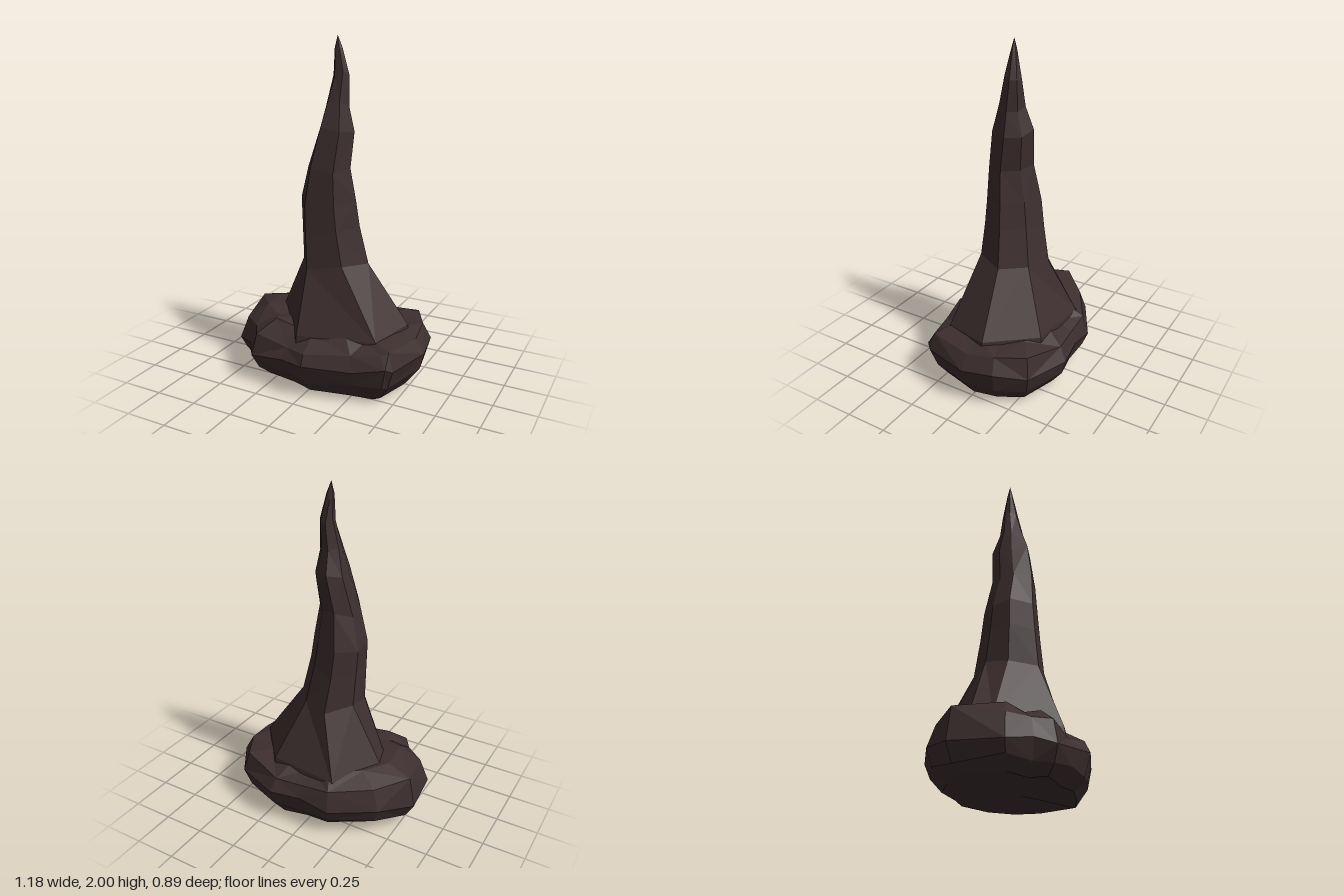
import * as THREE from 'three';

// Closed flat-shaded loft through rings of [x, y, z] points, with a centre point at each end
function loft(name, rings, bottom, top, material) {
  const n = rings[0].length;
  const points = [...rings.flat(), bottom, top];
  const b = rings.length * n, t = b + 1, index = [];
  for (let i = 0; i < n; i++) {
    const k = (i + 1) % n, last = (rings.length - 1) * n;
    index.push(i, k, b, last + i, t, last + k);
    for (let j = 0; j < rings.length - 1; j++) {
      const p = j * n, q = p + n;
      // Alternate the diagonals for a hewn look
      if ((i + j) % 2) index.push(p + i, q + i, p + k, p + k, q + i, q + k);
      else index.push(p + i, q + i, q + k, p + i, q + k, p + k);
    }
  }
  const indexed = new THREE.BufferGeometry();
  indexed.setAttribute('position', new THREE.Float32BufferAttribute(points.flat(), 3));
  indexed.setIndex(index);
  const geometry = indexed.toNonIndexed();
  geometry.computeVertexNormals();
  const mesh = new THREE.Mesh(geometry, material);
  mesh.name = name;
  return mesh;
}

export function createModel() {
  const group = new THREE.Group();
  group.name = 'stalagmite';
  const rock = new THREE.MeshStandardMaterial({ color: 0x3d2e2e, flatShading: true });

  // Boulder base: one irregular outline, scaled at each level
  const outline = [
    [0.59, 0.01], [0.51, 0.29], [0.48, 0.325], [0.3, 0.37], [0.02, 0.445], [-0.13, 0.405],
    [-0.35, 0.385], [-0.42, 0.29], [-0.555, 0.195], [-0.59, -0.09], [-0.44, -0.27],
    [-0.185, -0.412], [0, -0.415], [0.19, -0.448], [0.455, -0.35], [0.56, -0.18],
  ];
  // Each level: scale, x shift, height rule, unevenness
  const levels = [
    [0.78, 0.01, (x) => 0.02 - 0.03 * x, 0.006],
    [0.93, 0.005, (x) => 0.1 + 0.02 * x, 0.015],
    [1, 0, (x) => 0.2 + 0.05 * x, 0.015],
    [0.92, 0, (x, z) => 0.26 + 0.1 * Math.abs(x) + 0.02 * (z < 0), 0.012],
    [0.68, 0, (x) => 0.345 + (x < 0 ? -0.08 * x : 0), 0.01],
  ];
  const baseRings = levels.map(([s, dx, height, rough], j) => outline.map(([x, z], i) => {
    const wobble = Math.sin(i * 2.4 + j * 1.7);
    const r = s + (j === 2 ? 0 : 0.018 * wobble);
    return [x * r + dx, Math.max(0, height(x, z) + rough * wobble), z * r];
  }));
  group.add(loft('base', baseRings, [0.02, 0.03, 0], [0, 0.37, 0], rock));

  // Spike: flared foot, then a seven-sided section fitted to the bounds at each height
  const foot = [[0.46, -0.05], [0.38, 0.23], [-0.07, 0.335], [-0.33, 0.04], [-0.375, -0.08], [-0.17, -0.33], [0.24, -0.31]];
  const section = [[1, -0.05], [0.55, 0.82], [-0.5, 1], [-1, 0.3], [-0.97, -0.38], [-0.35, -1], [0.45, -0.75]];
  // Bounds: height, min x, max x, min z, max z
  const bounds = [
    [0.71, -0.17, 0.22, -0.2, 0.2],
    [0.92, -0.172, 0.17, -0.155, 0.188],
    [1.07, -0.175, 0.15, -0.13, 0.18],
    [1.27, -0.125, 0.12, -0.09, 0.165],
    [1.49, -0.07, 0.13, -0.11, 0.125],
    [1.63, -0.035, 0.098, -0.065, 0.08],
    [1.79, 0, 0.09, -0.055, 0.038],
    [1.92, 0.005, 0.05, -0.025, 0.015],
  ];
  const spikeRings = [
    foot.map(([x, z]) => [x * 1.05, 0.2, z * 1.05]),
    foot.map(([x, z], i) => [x, 0.345 + 0.015 * Math.cos(i * 2), z]),
    ...bounds.map(([y, x0, x1, z0, z1], j) => section.map(([u, v], i) => [
      (x0 + x1) / 2 + u * (x1 - x0) / 2,
      y + 0.018 * Math.sin(i * 2.1 + j),
      (z0 + z1) / 2 + v * (z1 - z0) / 2,
    ])),
  ];
  group.add(loft('spike', spikeRings, [0, 0.2, 0], [0.022, 2, -0.002], rock));
  return group;
}
